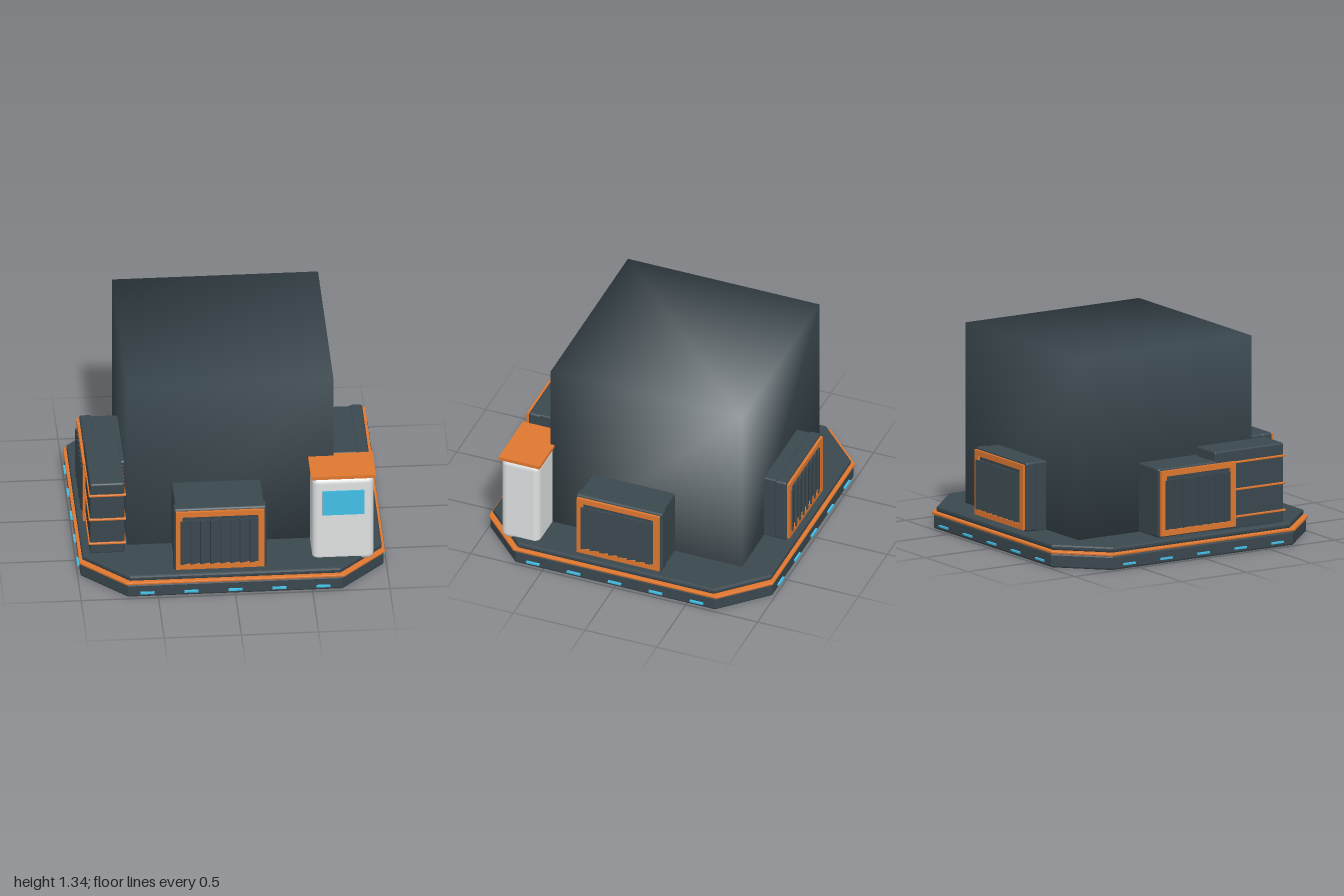
import * as THREE from 'three';
import { mergeVertices } from 'three/addons/utils/BufferGeometryUtils.js';
import { RoundedBoxGeometry } from 'three/addons/geometries/RoundedBoxGeometry.js';

const material = (name, color) => {
  const m = new THREE.MeshStandardMaterial({ color });
  m.name = name;
  return m;
};

export function createModel() {
  const model = new THREE.Group();
  model.name = 'platformBuilding';
  const slate = material('slate', 0x3a484f);
  const orange = material('orange', 0xe07830);
  const white = material('white', 0xdfe1e2);
  const cyan = material('cyan', 0x42bfe6);

  const add = (parent, name, geometry, mat, x = 0, y = 0, z = 0) => {
    const mesh = new THREE.Mesh(geometry, mat);
    mesh.name = name;
    mesh.position.set(x, y, z);
    parent.add(mesh);
    return mesh;
  };
  // Box given by its min and max corners, optionally with rounded edges
  const span = (parent, name, mat, [x0, y0, z0], [x1, y1, z1], radius = 0, segments = 2) => {
    const size = [x1 - x0, y1 - y0, z1 - z0];
    const geometry = radius
      ? new RoundedBoxGeometry(...size, segments, radius)
      : new THREE.BoxGeometry(...size);
    return add(parent, name, geometry, mat, (x0 + x1) / 2, (y0 + y1) / 2, (z0 + z1) / 2);
  };

  // Octagonal slab with bevelled rims; half is the outer half width
  const slab = (name, mat, half, y0, y1, bevel) => {
    const r = half - bevel;
    const c = r - 0.28;
    const outline = new THREE.Shape(
      [[r, -c], [r, c], [c, r], [-c, r], [-r, c], [-r, -c], [-c, -r], [c, -r]]
        .map(([x, y]) => new THREE.Vector2(x, y)));
    const geometry = new THREE.ExtrudeGeometry(outline, {
      depth: y1 - y0 - 2 * bevel, bevelEnabled: bevel > 0,
      bevelSize: bevel, bevelThickness: bevel, bevelSegments: 2,
    });
    geometry.rotateX(-Math.PI / 2);
    add(model, name, geometry, mat, 0, y0 + bevel, 0);
  };
  slab('baseSlab', slate, 0.982, 0, 0.094, 0.012);
  slab('baseTrim', orange, 0.99, 0.094, 0.112, 0.005);
  slab('baseDeck', slate, 0.97, 0.112, 0.15, 0.012);

  // Marker lights around the four straight sides of the base
  for (let side = 0; side < 4; side++) {
    const lights = new THREE.Group();
    lights.name = 'markerLights';
    lights.rotation.y = side * Math.PI / 2;
    for (let i = -2; i <= 2; i++) {
      add(lights, 'markerLight', new THREE.BoxGeometry(0.092, 0.012, 0.02), cyan, i * 0.285, 0.033, 0.987);
    }
    model.add(lights);
  }

  // Main block, with normals shared across its corners for soft shading
  let block = new THREE.BoxGeometry(1.336, 1.338, 1.336);
  block.deleteAttribute('uv');
  block.deleteAttribute('normal');
  block = mergeVertices(block);
  block.computeVertexNormals();
  add(model, 'mainBlock', block, slate, -0.002, 0.674, -0.09);

  // Rectangular frame for the vents
  const rectangle = (path, w, h) => path
    .moveTo(-w, -h).lineTo(w, -h).lineTo(w, h).lineTo(-w, h).lineTo(-w, -h);
  const frameShape = new THREE.Shape();
  rectangle(frameShape, 0.287, 0.215);
  const hole = new THREE.Path();
  rectangle(hole, 0.246, 0.178);
  frameShape.holes.push(hole);
  const frameGeometry = new THREE.ExtrudeGeometry(frameShape, { depth: 0.02, bevelEnabled: false });
  const slatGeometry = new THREE.BoxGeometry(0.068, 0.325, 0.012);

  // Vent unit on each side: housing, face plate, frame and angled slats
  const ventUnit = (name, angle, offset) => {
    const unit = new THREE.Group();
    unit.name = name;
    span(unit, 'ventHousing', slate, [-0.289, 0.145, 0.54], [0.289, 0.606, 0.86], 0.012);
    span(unit, 'ventFacePlate', slate, [-0.301, 0.153, 0.836], [0.301, 0.61, 0.917], 0.015);
    add(unit, 'ventFrame', frameGeometry, orange, 0, 0.38, 0.915);
    for (let i = 0; i < 8; i++) {
      const slat = add(unit, 'ventSlat', slatGeometry, slate, (i - 3.5) * 0.064 , 0.369, 0.931);
      slat.rotation.y = 0.3;
    }
    unit.rotation.y = angle;
    unit.position.x = offset;
    model.add(unit);
  };
  ventUnit('frontVent', 0, -0.094);
  ventUnit('leftVent', Math.PI / 2, 0);
  ventUnit('backVent', Math.PI, 0);
  ventUnit('rightVent', -Math.PI / 2, 0);

  // Banded cabinet in the front right corner
  const cabinet = new THREE.Group();
  cabinet.name = 'bandedCabinet';
  span(cabinet, 'cabinetBody', slate, [-0.918, 0.145, 0.135], [-0.695, 0.67, 0.665], 0.012);
  for (const y of [0.225, 0.405, 0.585]) {
    span(cabinet, 'cabinetBand', orange, [-0.927, y - 0.007, 0.126], [-0.685, y + 0.007, 0.677], 0.004, 1);
  }
  model.add(cabinet);

  // Kiosk with a flat roof and a screen
  const kiosk = new THREE.Group();
  kiosk.name = 'kiosk';
  span(kiosk, 'kioskBody', white, [0.511, 0.118, 0.562], [0.909, 0.742, 0.827], 0.042, 4);
  span(kiosk, 'kioskRoof', orange, [0.502, 0.742, 0.55], [0.922, 0.765, 0.836]);
  span(kiosk, 'kioskScreen', cyan, [0.577, 0.472, 0.827], [0.846, 0.651, 0.836]);
  model.add(kiosk);

  return model;
}
